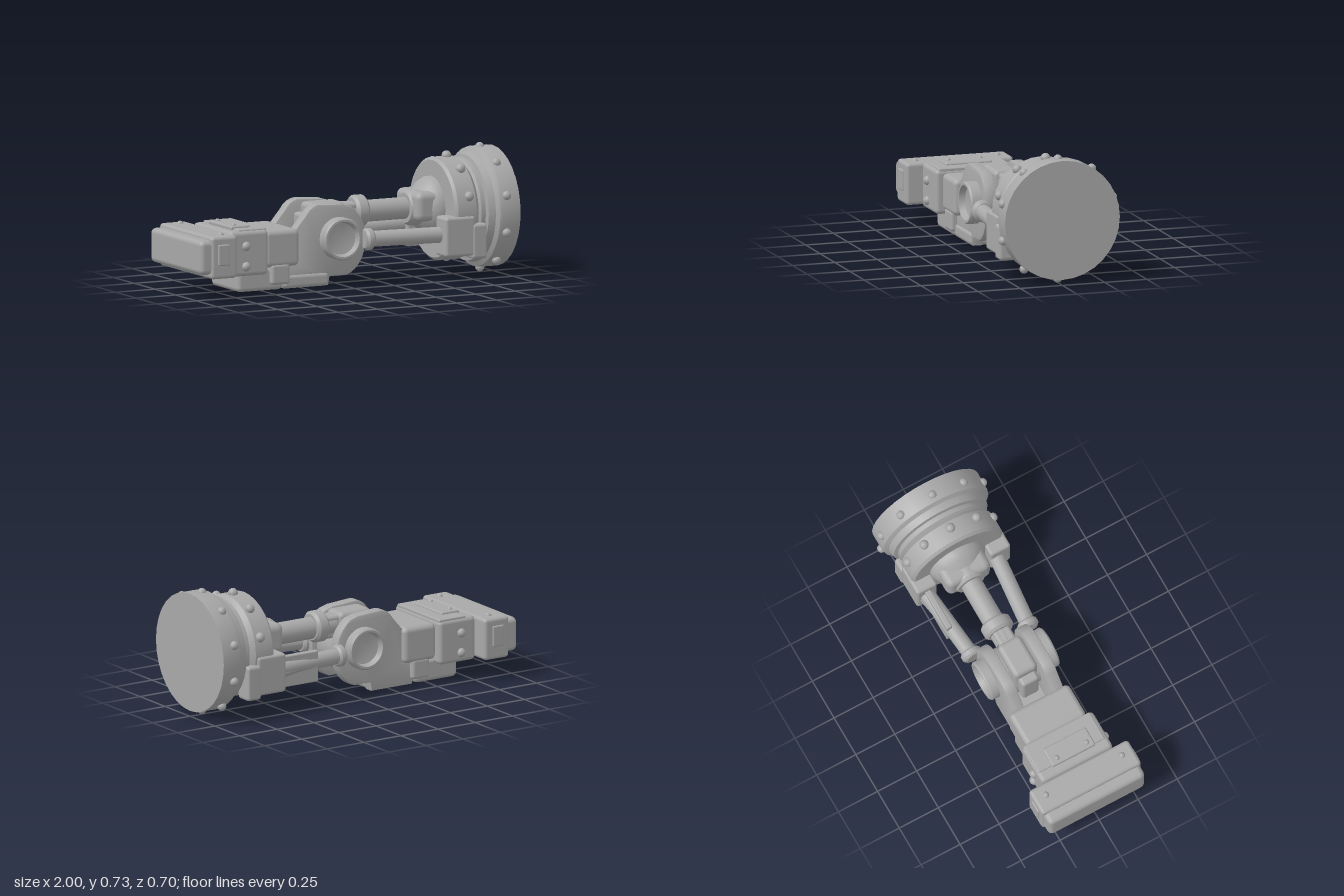
import * as THREE from 'three';
import { RoundedBoxGeometry } from 'three/addons/geometries/RoundedBoxGeometry.js';
import { toCreasedNormals } from 'three/addons/utils/BufferGeometryUtils.js';

export function createModel() {
  const model = new THREE.Group();
  const metal = new THREE.MeshStandardMaterial({ color: 0xa8a8a8 });

  const add = (name, geometry, parent = model) => {
    const mesh = new THREE.Mesh(geometry, metal);
    mesh.name = name;
    parent.add(mesh);
    return mesh;
  };
  // Rounded block given by its limits on each axis
  const block = (name, x0, x1, y0, y1, z0, z1, r = 0.025) => {
    const m = add(name, new RoundedBoxGeometry(x1 - x0, y1 - y0, z1 - z0, 2, r));
    m.position.set((x0 + x1) / 2, (y0 + y1) / 2, (z0 + z1) / 2);
    return m;
  };
  // Turned part along +x; profile points are [radius, x]
  const turned = (name, profile, y, z = 0, sides = 32) => {
    const g = new THREE.LatheGeometry(profile.map(([r, x]) => new THREE.Vector2(r, x)), sides);
    const m = add(name, toCreasedNormals(g, 0.6));
    m.rotation.z = -Math.PI / 2;
    m.position.set(0, y, z);
    return m;
  };
  const rod = (name, a, b, r) => {
    const from = new THREE.Vector3(...a), to = new THREE.Vector3(...b);
    const m = add(name, new THREE.CylinderGeometry(r, r, from.distanceTo(to), 20));
    m.position.copy(from).add(to).multiplyScalar(0.5);
    m.quaternion.setFromUnitVectors(new THREE.Vector3(0, 1, 0), to.sub(from).normalize());
    return m;
  };
  const rivet = (name, x, y, z, r) => add(name, new THREE.SphereGeometry(r, 10, 8)).position.set(x, y, z);
  const rivetRing = (name, x, y, radius, r) => {
    for (let i = 0; i < 10; i++) {
      const a = i * Math.PI / 5;
      rivet(name, x, y + Math.cos(a) * radius, Math.sin(a) * radius, r);
    }
  };

  // Large end wheel and stepped drum
  turned('endWheel', [[0, 0.78], [0.27, 0.78], [0.275, 0.815], [0.3, 0.82], [0.31, 0.86],
    [0.335, 0.875], [0.34, 0.89], [0.34, 1], [0, 1]], 0.38);
  turned('drum', [[0, 0.62], [0.275, 0.62], [0.29, 0.635], [0.29, 0.75], [0.265, 0.775],
    [0.28, 0.785], [0.28, 0.81], [0, 0.81]], 0.385);
  rivetRing('wheelRivet', 0.92, 0.375, 0.34, 0.026);
  rivetRing('drumRivet', 0.71, 0.395, 0.285, 0.028);

  // Hub and central shaft
  turned('hub', [[0, 0.45], [0.085, 0.45], [0.1, 0.47], [0.105, 0.52], [0.15, 0.56],
    [0.17, 0.6], [0.17, 0.63], [0, 0.63]], 0.4, -0.01, 20);
  block('hubBlock', 0.46, 0.63, 0.33, 0.5, -0.15, 0.13, 0.04);
  rod('mainShaft', [0.05, 0.4, -0.01], [0.5, 0.4, -0.01], 0.062);
  turned('shaftCollar', [[0, 0.115], [0.075, 0.115], [0.09, 0.13], [0.09, 0.18], [0.075, 0.195], [0, 0.195]], 0.405, -0.01);

  // Paired side rods, their collars and end blocks
  for (const s of [1, -1]) {
    rod('sideRod', [0.1, 0.27, s * 0.18 - 0.01], [0.62, 0.27, s * 0.23 - 0.01], 0.045);
    turned('rodCollar', [[0, 0.1], [0.05, 0.1], [0.062, 0.112], [0.062, 0.138], [0.05, 0.15], [0, 0.15]], 0.27, s * 0.18 - 0.01, 20);
    block('rodBlock', 0.55, 0.74, 0.15, 0.375, s * 0.235 - 0.065, s * 0.235 + 0.065, 0.018);
    block('blockBracket', 0.7, 0.83, 0.13, 0.33, s * 0.25 - 0.055, s * 0.25 + 0.055, 0.02).scale.x = 0.7;
  }
  // Flat guide with a tapered rib on the back side
  block('guidePlate', 0.3, 0.57, 0.16, 0.34, -0.25, -0.215, 0.008);
  const rib = add('guideRib', new THREE.ConeGeometry(0.035, 0.2, 4));
  rib.rotation.z = Math.PI / 2;
  rib.position.set(0.46, 0.25, -0.25);

  // Elbow yoke: two contoured cheeks
  const cheek = new THREE.Shape();
  cheek.moveTo(-0.38, 0.03);
  cheek.lineTo(-0.12, 0.03);
  cheek.lineTo(-0.11, 0.08);
  cheek.lineTo(0, 0.08);
  cheek.bezierCurveTo(0.07, 0.1, 0.115, 0.18, 0.115, 0.27);
  cheek.bezierCurveTo(0.115, 0.36, 0.08, 0.41, 0.03, 0.45);
  cheek.lineTo(-0.02, 0.465);
  cheek.lineTo(-0.17, 0.475);
  cheek.quadraticCurveTo(-0.22, 0.47, -0.25, 0.42);
  cheek.lineTo(-0.31, 0.35);
  cheek.lineTo(-0.31, 0.15);
  cheek.lineTo(-0.38, 0.15);
  const cheekGeometry = toCreasedNormals(new THREE.ExtrudeGeometry(cheek, {
    depth: 0.05, bevelThickness: 0.01, bevelSize: 0.008, bevelSegments: 2, curveSegments: 8,
  }), 0.6);
  for (const z of [0.09, -0.16]) add('yokeCheek', cheekGeometry).position.z = z;

  // Dished pivot caps on both sides
  const cap = toCreasedNormals(new THREE.LatheGeometry([[0, 0], [0.12, 0], [0.12, 0.055],
    [0.112, 0.065], [0.1, 0.065], [0.09, 0.03], [0, 0.01]].map(([r, h]) => new THREE.Vector2(r, h)), 28), 0.6);
  for (const s of [1, -1]) {
    const m = add('pivotCap', cap);
    m.rotation.x = s * Math.PI / 2;
    m.position.set(-0.05, 0.285, s * 0.155 - 0.005);
  }
  // Lug between the cheeks
  block('centerLug', -0.18, 0.04, 0.25, 0.475, -0.08, 0.07, 0.03);
  block('lugNeck', -0.23, -0.1, 0.2, 0.42, -0.06, 0.05, 0.02);
  block('lugLink', -0.02, 0.13, 0.33, 0.46, -0.06, 0.045, 0.02);
  const pivot = add('pivotCore', new THREE.CylinderGeometry(0.14, 0.14, 0.2, 28));
  pivot.rotation.x = Math.PI / 2;
  pivot.position.set(-0.05, 0.26, -0.005);

  // Lower plates and side feet
  block('heelPlate', -0.4, -0.11, 0.02, 0.1, -0.17, 0.16);
  block('palmPlate', -0.69, -0.405, 0.02, 0.15, -0.17, 0.16);
  for (const z of [0.15, -0.16]) block('sideFoot', -0.49, -0.37, 0.05, 0.17, z - 0.035, z + 0.035, 0.02);

  // Wrist, knuckle and tip blocks
  block('wristBlock', -0.53, -0.31, 0.15, 0.36, -0.2, 0.185, 0.03);
  block('knuckleBlock', -0.77, -0.525, 0.12, 0.375, -0.235, 0.22);
  block('fingerBar', -0.935, -0.77, 0.13, 0.37, -0.325, 0.31, 0.02);
  block('fingerTip', -1, -0.88, 0.155, 0.35, -0.315, 0.3, 0.03);
  block('knuckleSeam', -0.79, -0.75, 0.15, 0.35, -0.21, 0.2, 0.01);

  // Raised top panel and its frame
  block('topFrame', -0.71, -0.53, 0.36, 0.383, -0.225, 0.2, 0.008);
  block('topPanel', -0.72, -0.6, 0.37, 0.395, -0.14, 0.135, 0.01);
  for (const z of [0.095, -0.095]) rivet('panelStud', -0.685, 0.392, z, 0.016);

  // Studs and end pads
  for (const s of [1, -1]) {
    for (const y of [0.29, 0.175]) rivet('knuckleStud', -0.67, y, s * 0.225 - 0.0075, 0.027);
    rivet('barStud', -0.84, 0.365, s * 0.243 - 0.008, 0.02);
    block('endPad', -0.895, -0.82, 0.205, 0.325, s * 0.315 - 0.018, s * 0.315 + 0.003, 0.008);
  }
  return model;
}
